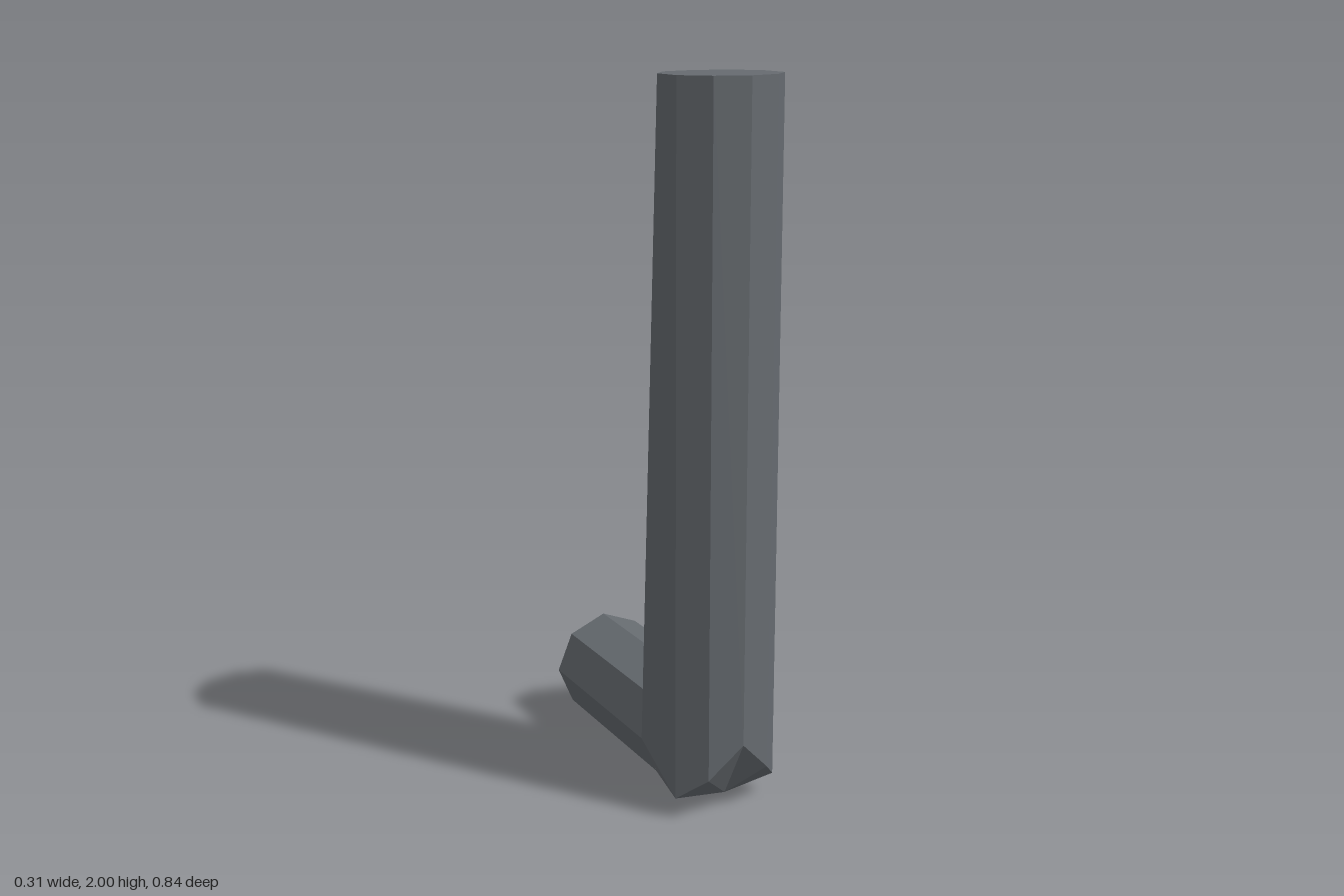
import * as THREE from 'three';

const steel = new THREE.MeshStandardMaterial({ color: 0x666b70, flatShading: true });
steel.name = 'dark grey';

// Upright faceted shaft whose lower end turns into the octagonal arm
function shaftGeometry(radius, jointZ) {
  const v = (x, y, z) => new THREE.Vector3(x, y, z);
  // Half outlines (x >= 0), running from front to back
  const rim = [[0, 0.42], [0.093, 0.393], [radius, 0.323], [radius, 0.225], [0.1, 0.15], [0, jointZ]];
  const top = rim.map(([x, z]) => v(x, 2, z));
  const low = [
    v(0, 0.223, 0.42), v(0.093, 0.127, 0.393), v(radius, 0.06, 0.323),
    v(radius, radius, jointZ), v(0.111, 0.268, jointZ), v(0, 2 * radius, jointZ),
  ];
  // Underside ridge, from the front chamfer back to the arm
  const heel = [v(0, 0.04, 0.323), v(0, 0.028, 0.225), v(0, 0, jointZ), v(0.111, 0.046, jointZ), low[3]];

  const tris = [];
  for (let i = 0; i < 5; i++) {
    tris.push([low[i], low[i + 1], top[i + 1]], [low[i], top[i + 1], top[i]]);
    if (i > 0) tris.push([top[0], top[i], top[i + 1]]);
  }
  for (let i = 0; i < 2; i++) tris.push([heel[0], low[i + 1], low[i]]);
  for (let i = 0; i < 4; i++) tris.push([low[2], heel[i], heel[i + 1]]);

  // Emit each triangle and its mirror image with reversed winding
  const pos = [];
  for (const [a, b, c] of tris) {
    for (const p of [a, b, c]) pos.push(p.x, p.y, p.z);
    for (const p of [a, c, b]) pos.push(-p.x, p.y, p.z);
  }
  const geo = new THREE.BufferGeometry();
  geo.setAttribute('position', new THREE.Float32BufferAttribute(pos, 3));
  geo.computeVertexNormals();
  return geo;
}

export function createModel() {
  const radius = 0.157, jointZ = 0.127, endZ = -0.42;
  const group = new THREE.Group();
  group.name = 'bentRod';

  const shaft = new THREE.Mesh(shaftGeometry(radius, jointZ), steel);
  shaft.name = 'shaft';

  // Octagonal arm reaching backwards
  const armGeo = new THREE.CylinderGeometry(radius, radius, jointZ - endZ, 8);
  armGeo.rotateX(Math.PI / 2);
  const arm = new THREE.Mesh(armGeo, steel);
  arm.name = 'arm';
  arm.position.set(0, radius, (jointZ + endZ) / 2);

  group.add(shaft, arm);
  return group;
}
